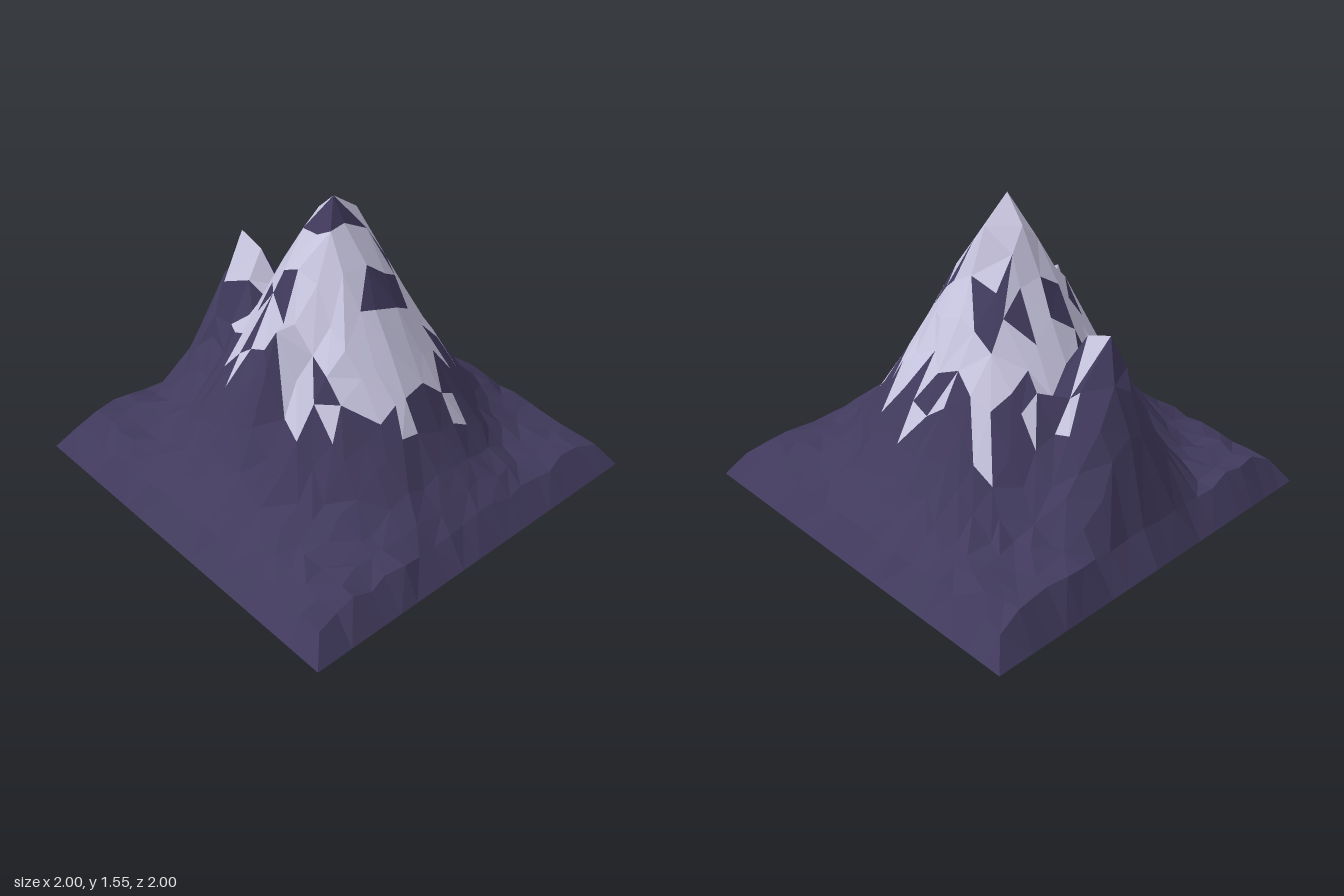
import * as THREE from 'three';

const N = 20; // grid cells per side

// repeatable pseudo-random value 0..1 for a pair of grid numbers
function rnd(a, b, k = 0) {
  const s = Math.sin(a * 127.1 + b * 311.7 + k * 74.7) * 43758.5453;
  return s - Math.floor(s);
}

// piecewise-linear profile: [distance, height] pairs
function profile(points, d) {
  for (let i = 1; i < points.length; i++) {
    const [d0, h0] = points[i - 1], [d1, h1] = points[i];
    if (d <= d1) return h0 + (h1 - h0) * (d - d0) / (d1 - d0);
  }
  return points[points.length - 1][1];
}

const MAIN = [[0, 1.55], [0.11, 1.42], [0.2, 1.24], [0.3, 1.05], [0.4, 0.85], [0.5, 0.68],
  [0.6, 0.49], [0.7, 0.34], [0.8, 0.23], [0.92, 0.18], [1.4, 0.15]];
const SPUR = [[0, 1.05], [0.07, 0.92], [0.14, 0.74], [0.22, 0.5], [0.33, 0.28], [0.45, 0]];

// main cone joined with the left and front spurs
function height(x, z) {
  const main = profile(MAIN, Math.hypot(x - 0.02, z - 0.01));
  const left = profile(SPUR, Math.hypot(x + 0.6, (z - 0.03) * 0.8));
  const front = profile(SPUR, Math.hypot((x - 0.08) * 1.2, z - 0.4));
  return Math.max(main, left, front);
}

// summit vertices placed exactly, keyed by grid column and row
const SUMMITS = {
  '10,10': [0.03, 1.55, 0.03], '9,10': [-0.09, 1.43, 0.01], '11,10': [0.09, 1.43, 0.02],
  '10,9': [0.02, 1.43, -0.12], '10,11': [0.01, 1.37, 0.11],
  '4,10': [-0.62, 1.07, 0.04], '5,10': [-0.49, 1.02, 0.03], '6,10': [-0.39, 0.84, 0.0],
  '4,11': [-0.6, 0.84, 0.18], '5,11': [-0.48, 0.88, 0.12], '4,12': [-0.6, 0.67, 0.25],
  '11,12': [0.11, 1.19, 0.2], '11,13': [0.09, 1.02, 0.32], '11,14': [0.08, 1.02, 0.42],
  '12,12': [0.21, 1.02, 0.21], '12,13': [0.2, 0.9, 0.31], '12,14': [0.19, 0.8, 0.4],
  '10,13': [0.0, 0.97, 0.31], '10,14': [-0.02, 0.86, 0.41],
};

function gridPoint(i, j) {
  const key = SUMMITS[i + ',' + j];
  if (key) return new THREE.Vector3(...key);
  const gx = i / N * 2 - 1, gz = j / N * 2 - 1;
  const ring = Math.min(i, j, N - i, N - j);
  if (ring === 0) return new THREE.Vector3(gx, 0, gz);
  const jitter = ring === 1 ? 0.025 : 0.05;
  const x = gx + (rnd(i, j, 1) - 0.5) * jitter;
  const z = gz + (rnd(i, j, 2) - 0.5) * jitter;
  if (ring === 1) {
    // rim of the base, pushed outwards at its four corners and higher on the right
    const corner = Math.abs(gx) > 0.85 && Math.abs(gz) > 0.85;
    if (corner) return new THREE.Vector3(gx * 1.02, 0.125, gz * 1.02);
    return new THREE.Vector3(x, (i === 1 ? 0.155 : 0.125) + rnd(i, j, 3) * 0.04, z);
  }
  const h = height(x, z);
  return new THREE.Vector3(x, h + (rnd(i, j, 3) - 0.5) * (h < 0.3 ? 0.025 : 0.04), z);
}

// plan circles [x, z, radius]: bare rock inside the cap, and snow tongues beyond it
const BARE = [[0.05, 0.02, 0.07], [-0.02, 0.06, 0.03], [0.23, -0.02, 0.08], [-0.02, -0.2, 0.05],
  [-0.12, -0.2, 0.06], [-0.21, -0.17, 0.05], [0.1, -0.2, 0.035],
  [0.27, -0.17, 0.05], [0.3, 0.12, 0.04], [-0.25, 0.06, 0.06], [-0.28, -0.38, 0.05],
  [-0.15, 0.38, 0.06], [0.3, 0.36, 0.05], [-0.08, 0.23, 0.05], [-0.2, 0.22, 0.04],
  [-0.1, 0.1, 0.04], [0.03, 0.5, 0.11], [-0.04, 0.44, 0.05], [0.0, -0.38, 0.04],
  [-0.46, 0.14, 0.05]];
const TONGUES = [[-0.55, 0.09, 0.045], [-0.54, 0.04, 0.05], [-0.53, -0.12, 0.07], [0.56, 0.04, 0.06],
  [0.53, -0.27, 0.05], [-0.29, 0.53, 0.04], [-0.31, -0.46, 0.05], [0.1, -0.52, 0.05],
  [0.36, 0.38, 0.04], [0.2, 0.44, 0.05], [0.13, 0.39, 0.05], [-0.37, 0.23, 0.06]];
const inside = (list, x, z) => list.some(([cx, cz, r]) => Math.hypot(x - cx, z - cz) < r);

function isSnow(x, z, noise) {
  if (inside(TONGUES, x, z)) return true;
  if (inside(BARE, x, z)) return false;
  return Math.hypot(x - 0.04, z + 0.01) < 0.41 + noise * 0.12;
}

function facetMesh(name, positions, material) {
  const geometry = new THREE.BufferGeometry();
  geometry.setAttribute('position', new THREE.Float32BufferAttribute(positions, 3));
  geometry.computeVertexNormals(); // separate corners keep every facet flat
  const mesh = new THREE.Mesh(geometry, material);
  mesh.name = name;
  return mesh;
}

export function createModel() {
  const rockMaterial = new THREE.MeshStandardMaterial({ color: 0x413a5d, side: THREE.DoubleSide });
  rockMaterial.name = 'purple rock';
  const snowMaterial = new THREE.MeshStandardMaterial({ color: 0xc8c5e0, side: THREE.DoubleSide });
  snowMaterial.name = 'pale snow';

  // sort the terrain facets into rock and snow
  const rock = [], snow = [];
  for (let i = 0; i < N; i++) {
    for (let j = 0; j < N; j++) {
      const a = gridPoint(i, j), b = gridPoint(i + 1, j);
      const c = gridPoint(i + 1, j + 1), d = gridPoint(i, j + 1);
      const flip = rnd(i, j, 5) > 0.5;
      const triangles = flip ? [[a, d, b], [b, d, c]] : [[a, d, c], [a, c, b]];
      triangles.forEach((triangle, k) => {
        const x = (triangle[0].x + triangle[1].x + triangle[2].x) / 3;
        const z = (triangle[0].z + triangle[1].z + triangle[2].z) / 3;
        const target = isSnow(x, z, rnd(i, j, 7 + k)) ? snow : rock;
        triangle.forEach((p) => target.push(p.x, p.y, p.z));
      });
    }
  }

  const group = new THREE.Group();
  group.name = 'mountain';
  group.add(facetMesh('rockSlopes', rock, rockMaterial), facetMesh('snowCap', snow, snowMaterial));
  return group;
}
